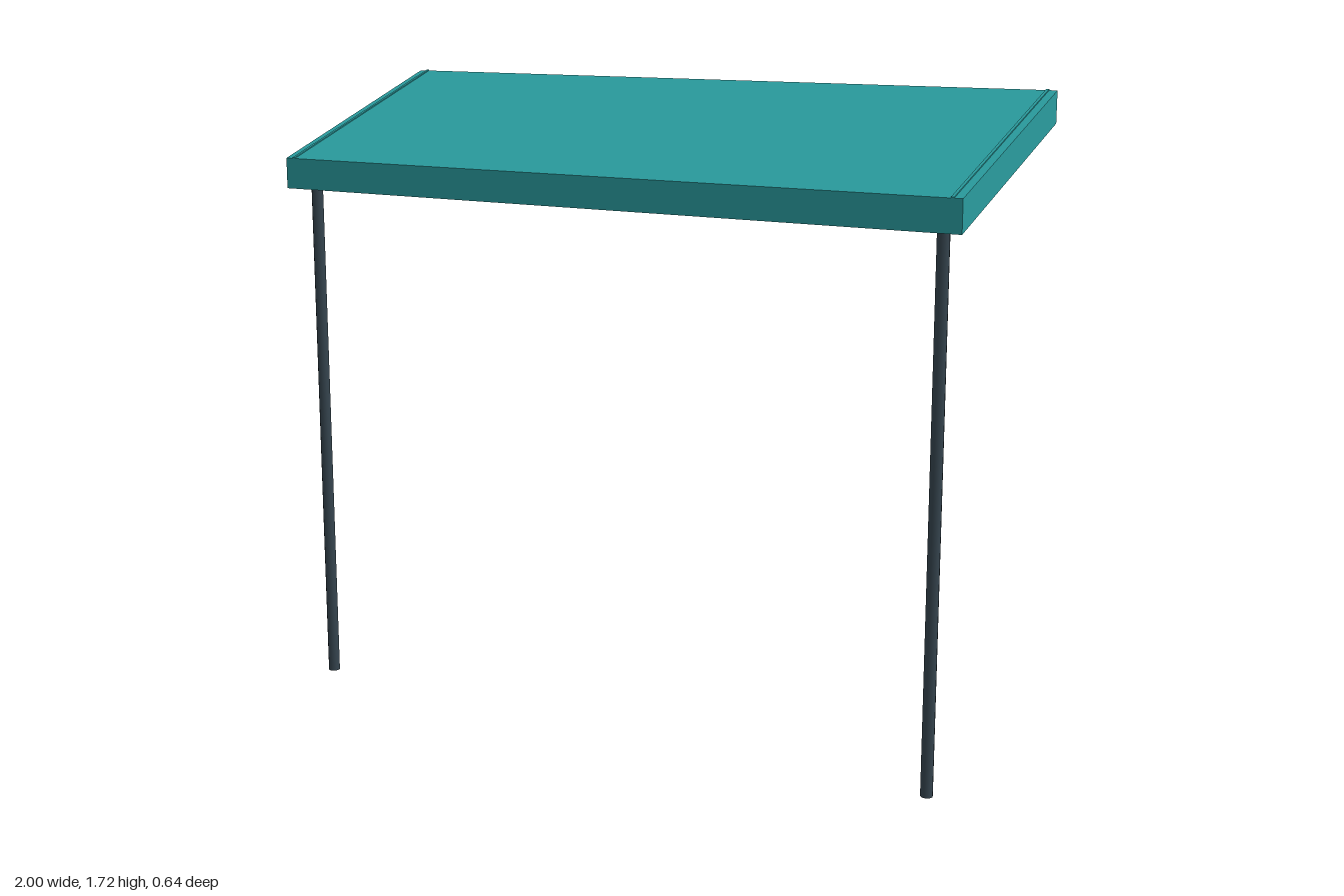
import * as THREE from 'three';

const HALF_DEPTH = 0.32;
const FRONT_Y = 1.42, BACK_Y = 1.633; // underside heights of the sloping roof
const THICK = 0.084;

// Sloping slab with vertical ends: a parallelogram in z-y, extruded along x
function slopedSlab(name, width, x, lift, thick, material) {
  const d = HALF_DEPTH, s = new THREE.Shape();
  s.moveTo(-d, FRONT_Y + lift);
  s.lineTo(d, BACK_Y + lift);
  s.lineTo(d, BACK_Y + lift + thick);
  s.lineTo(-d, FRONT_Y + lift + thick);
  s.closePath();
  const geometry = new THREE.ExtrudeGeometry(s, { depth: width, bevelEnabled: false });
  geometry.translate(0, 0, -width / 2);
  geometry.rotateY(Math.PI / 2); // shape x becomes -z, extrusion runs along x
  const mesh = new THREE.Mesh(geometry, material);
  mesh.position.x = x;
  mesh.name = name;
  return mesh;
}

export function createModel() {
  const group = new THREE.Group();
  group.name = 'canopy';
  const teal = new THREE.MeshStandardMaterial({ color: 0x2a9d9f });
  const charcoal = new THREE.MeshStandardMaterial({ color: 0x36454f });

  // Roof panel
  group.add(slopedSlab('roof', 2, 0, 0, THICK, teal));

  for (const side of [1, -1]) {
    const label = side > 0 ? 'left' : 'right';

    // Fine trim strip along each end of the roof
    group.add(slopedSlab(label + 'RoofTrim', 0.008, side * 0.974, THICK - 0.01, 0.013, teal));

    // Slim round post under the front edge, let into the roof
    const height = 1.46;
    const post = new THREE.Mesh(new THREE.CylinderGeometry(0.016, 0.016, height, 12), charcoal);
    post.position.set(side * 0.935, height / 2, 0.27);
    post.name = label + 'Post';
    group.add(post);
  }
  return group;
}
